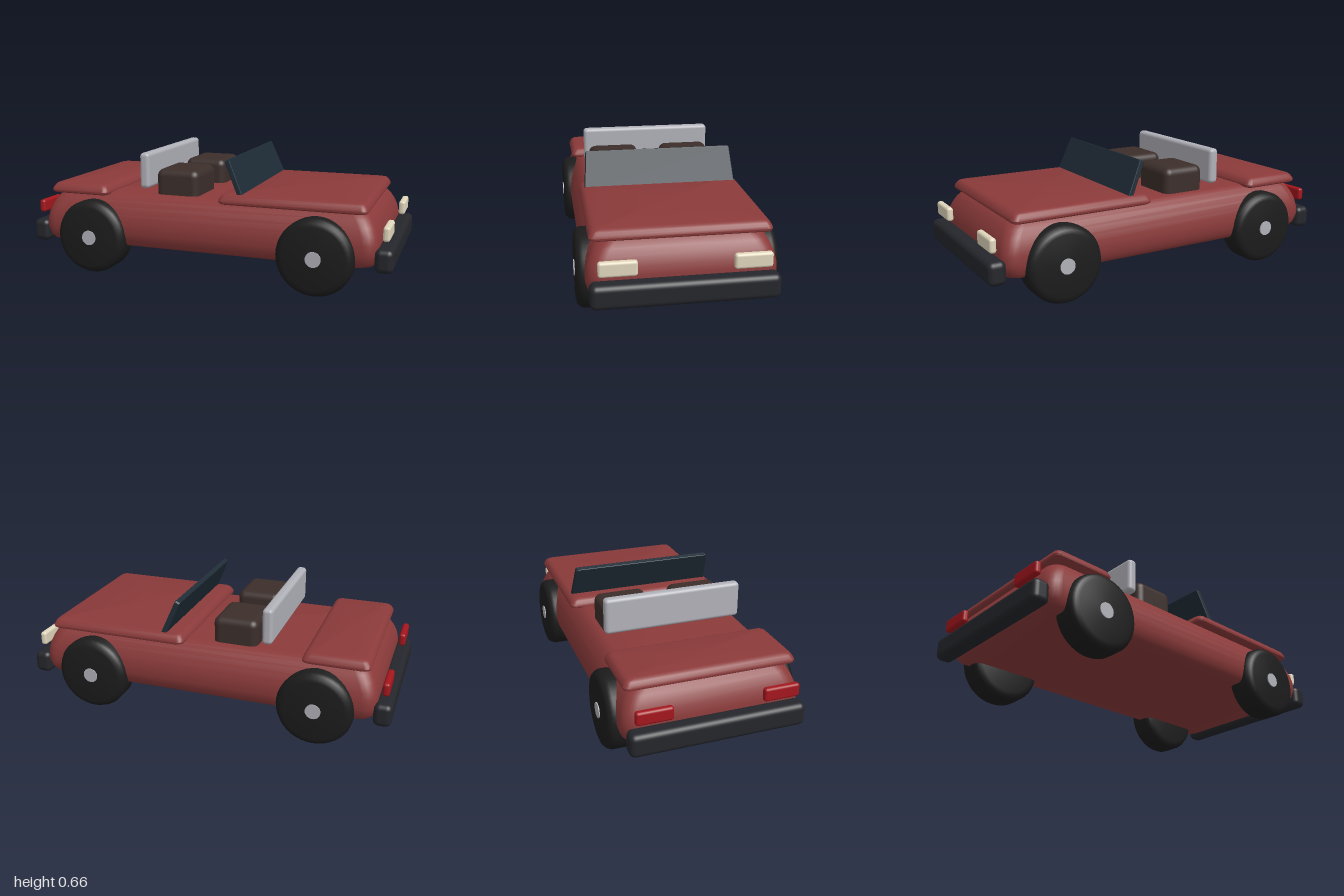
import * as THREE from 'three';
import { RoundedBoxGeometry } from 'three/addons/geometries/RoundedBoxGeometry.js';
import { toCreasedNormals } from 'three/addons/utils/BufferGeometryUtils.js';

const mat = (color, opts = {}) => new THREE.MeshStandardMaterial({ color, ...opts });
const paint = mat(0x8b3a3a), rubber = mat(0x1c1c1c), bumperMat = mat(0x25262b);
const glassMat = mat(0x1f2c36), seatMat = mat(0x3b2e2a), metal = mat(0xb0b0b8);
const lampMat = mat(0xe0d6bc), tailMat = mat(0xa3161d);

// Stack of rounded rectangles; levels are [y, inset], closed at both ends
function loft(halfX, halfZ, radius, levels) {
  const pos = [], idx = [], steps = 6, n = 4 * (steps + 1);
  for (const [y, inset] of levels) {
    const hx = halfX - inset, hz = halfZ - inset;
    for (let c = 0; c < 4; c++) {
      const sx = c === 0 || c === 3 ? 1 : -1, sz = c < 2 ? 1 : -1;
      for (let s = 0; s <= steps; s++) {
        const a = (c + s / steps) * Math.PI / 2;
        pos.push(sx * (hx - radius) + radius * Math.cos(a), y,
          sz * (hz - radius) + radius * Math.sin(a));
      }
    }
  }
  const last = levels.length - 1, low = pos.length / 3, high = low + 1;
  pos.push(0, levels[0][0], 0, 0, levels[last][0], 0);
  for (let j = 0; j < n; j++) {
    const k = (j + 1) % n;
    for (let i = 0; i < last; i++) {
      const a = i * n + j, b = i * n + k;
      idx.push(a, a + n, b, b, a + n, b + n);
    }
    idx.push(low, j, k, high, last * n + k, last * n + j);
  }
  const g = new THREE.BufferGeometry();
  g.setAttribute('position', new THREE.Float32BufferAttribute(pos, 3));
  g.setIndex(idx);
  return toCreasedNormals(g, 0.6);
}

export function createModel() {
  const car = new THREE.Group();
  car.name = 'convertible';

  const add = (name, geometry, material, x = 0, y = 0, z = 0, parent = car) => {
    const m = new THREE.Mesh(geometry, material);
    m.name = name;
    m.position.set(x, y, z);
    parent.add(m);
    return m;
  };
  // Rounded box given by its limits on each axis
  const box = (name, material, [x0, x1], [y0, y1], [z0, z1], r) =>
    add(name, new RoundedBoxGeometry(x1 - x0, y1 - y0, z1 - z0, 4, r), material,
      (x0 + x1) / 2, (y0 + y1) / 2, (z0 + z1) / 2);

  // Body tub, curving in toward the deck
  add('body', loft(0.925, 0.455, 0.07, [
    [0.155, 0.045], [0.165, 0.025], [0.19, 0.01], [0.23, 0], [0.28, 0.002],
    [0.32, 0.01], [0.36, 0.026], [0.395, 0.046], [0.42, 0.068], [0.433, 0.088], [0.438, 0.11],
  ]), paint);

  // Hood and rear deck lids
  const lidLevels = [[0.425, 0.012], [0.432, 0.002], [0.442, 0], [0.455, 0.005],
    [0.468, 0.013], [0.476, 0.022], [0.48, 0.036]];
  add('hood', loft(0.385, 0.435, 0.03, lidLevels), paint, 0.483);
  add('rearDeck', loft(0.173, 0.435, 0.03, lidLevels), paint, -0.708);

  // Windshield: tapered pane leaning back
  const pane = new THREE.Shape([[-0.405, 0], [0.405, 0], [0.388, 0.215], [0.382, 0.22],
    [-0.382, 0.22], [-0.388, 0.215]].map(([x, y]) => new THREE.Vector2(x, y)));
  const paneGeo = new THREE.ExtrudeGeometry(pane, {
    depth: 0.02, bevelThickness: 0.004, bevelSize: 0.004, bevelSegments: 2 });
  paneGeo.translate(0, 0, -0.01);
  paneGeo.rotateY(Math.PI / 2);
  const windshield = add('windshield', paneGeo, glassMat, 0.226, 0.445);
  windshield.rotation.z = 0.41;

  // Roll bar panel behind the seats
  box('rollBar', metal, [-0.367, -0.312], [0.468, 0.66], [-0.37, 0.37], 0.02);

  // Tyre profile (radius, half-width position) and hub
  const tyre = [[0, -0.08], [0.16, -0.08], [0.18, -0.075], [0.192, -0.062], [0.2, -0.045],
    [0.2, 0.045], [0.192, 0.062], [0.18, 0.075], [0.16, 0.08], [0, 0.08]];
  const tyreGeo = toCreasedNormals(new THREE.LatheGeometry(
    tyre.map(([r, y]) => new THREE.Vector2(r, y)), 40), 0.6).rotateX(Math.PI / 2);
  const hubGeo = new THREE.CylinderGeometry(0.04, 0.04, 0.17, 24).rotateX(Math.PI / 2);

  for (const side of [1, -1]) {
    const label = side > 0 ? 'Near' : 'Far';
    const span = (a, b) => (side > 0 ? [a, b] : [-b, -a]);
    for (const end of [1, -1]) {
      const wheel = new THREE.Group();
      wheel.name = (end > 0 ? 'front' : 'rear') + 'Wheel' + label;
      wheel.position.set(end * 0.62, 0.2, side * 0.412);
      car.add(wheel);
      add('tyre', tyreGeo, rubber, 0, 0, 0, wheel);
      add('hub', hubGeo, metal, 0, 0, 0, wheel);
    }
    box('seat' + label, seatMat, [-0.282, -0.04], [0.38, 0.575], span(0.066, 0.347), 0.04);
    box('headlight' + label, lampMat, [0.94, 0.975], [0.295, 0.37], span(0.223, 0.405), 0.014);
    box('tailLight' + label, tailMat, [-0.977, -0.942], [0.3, 0.37], span(0.227, 0.412), 0.014);
  }

  // Bumpers
  box('frontBumper', bumperMat, [0.908, 1], [0.143, 0.264], [-0.445, 0.445], 0.03);
  box('rearBumper', bumperMat, [-1, -0.908], [0.143, 0.264], [-0.445, 0.445], 0.03);

  return car;
}
